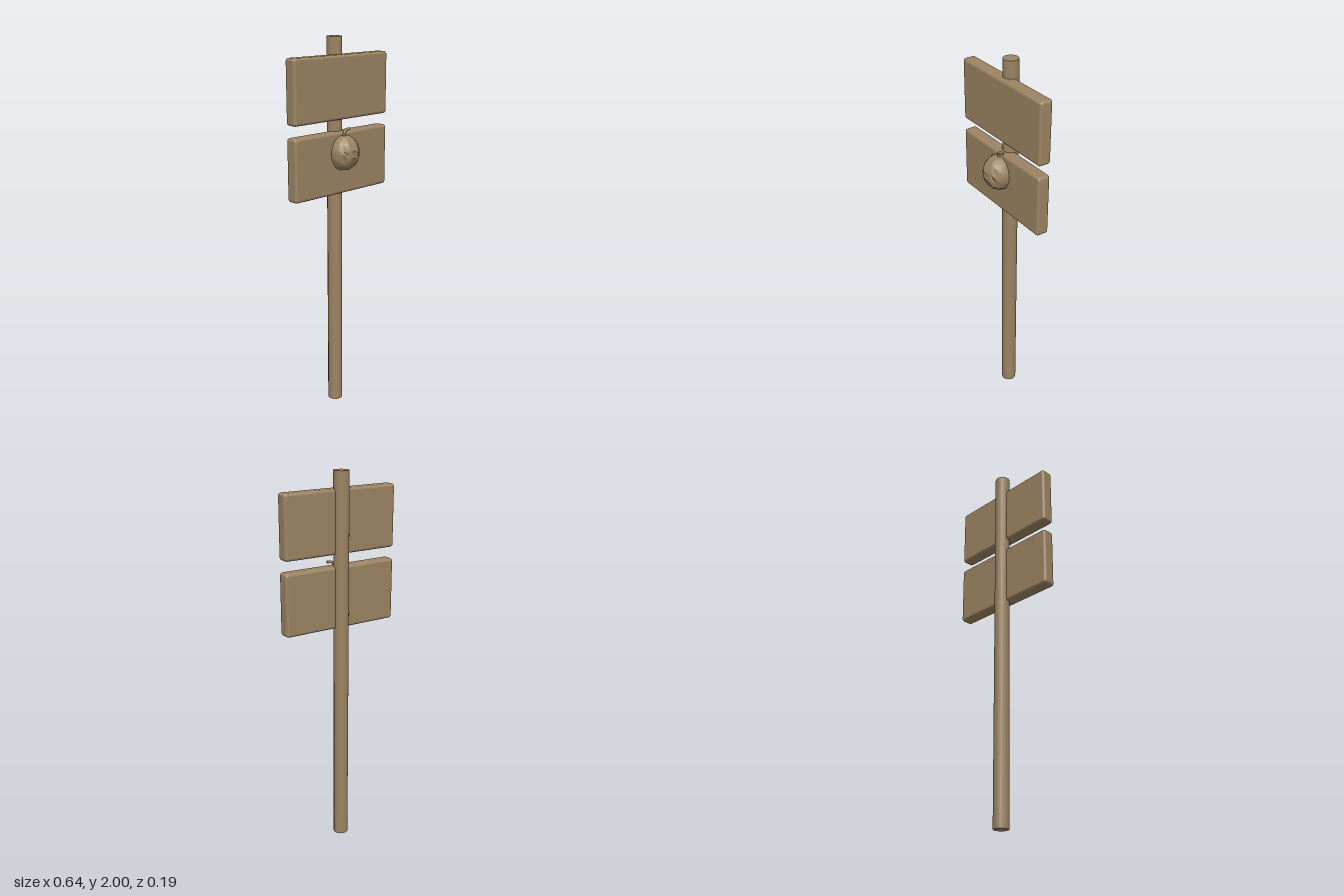
import * as THREE from 'three';
import { RoundedBoxGeometry } from 'three/addons/geometries/RoundedBoxGeometry.js';
import { toCreasedNormals } from 'three/addons/utils/BufferGeometryUtils.js';

const wood = new THREE.MeshStandardMaterial({ color: 0x9b8362 });
wood.name = 'weatheredWood';

function addPart(group, name, geometry, x, y, z) {
  const mesh = new THREE.Mesh(geometry, wood);
  mesh.name = name;
  mesh.position.set(x, y, z);
  group.add(mesh);
  return mesh;
}

// Squashed sphere with ten lobes; every third meridian is a groove
function gourdGeometry() {
  const geometry = new THREE.SphereGeometry(1, 30, 16);
  const p = geometry.attributes.position;
  for (let i = 0; i < p.count; i++) {
    const x = p.getX(i), y = p.getY(i), z = p.getZ(i);
    const segment = Math.round(Math.atan2(x, z) / (Math.PI / 15));
    const radius = segment % 3 === 0 ? 0.075 : 0.083;
    const dimple = 0.008 * Math.max(0, 1 - Math.hypot(x, z) / 0.3);
    p.setXYZ(i, x * radius, y * 0.093 - Math.sign(y) * dimple, z * radius);
  }
  return toCreasedNormals(geometry, 0.7);
}

export function createModel() {
  const model = new THREE.Group();
  model.name = 'signpost';

  // Tall round post
  const post = new THREE.CylinderGeometry(0.04, 0.04, 2, 13);
  addPart(model, 'post', post, 0, 1, -0.055);

  // Two blank boards with rounded edges
  [['upperBoard', 1.75], ['lowerBoard', 1.367]].forEach(([name, y]) => {
    addPart(model, name, new RoundedBoxGeometry(0.642, 0.323, 0.069, 3, 0.015), 0, y, -0.0255);
  });

  // Ribbed gourd on the front of the lower board
  const gourd = new THREE.Group();
  gourd.name = 'gourd';
  gourd.position.set(0, 1.422, 0.012);
  addPart(gourd, 'gourdBody', gourdGeometry(), 0, 0, 0);

  // Stem that bends sideways, with a closed tip
  const path = new THREE.CatmullRomCurve3([
    [0, 0.075, 0.003], [0.001, 0.1, 0.003], [0.012, 0.115, 0.003], [0.04, 0.118, 0.003],
  ].map((v) => new THREE.Vector3(...v)));
  addPart(gourd, 'stem', new THREE.TubeGeometry(path, 10, 0.007, 8), 0, 0, 0);
  const tip = addPart(gourd, 'stemTip', new THREE.CircleGeometry(0.007, 8), 0.04, 0.118, 0.003);
  tip.rotation.y = Math.PI / 2;
  model.add(gourd);

  return model;
}
